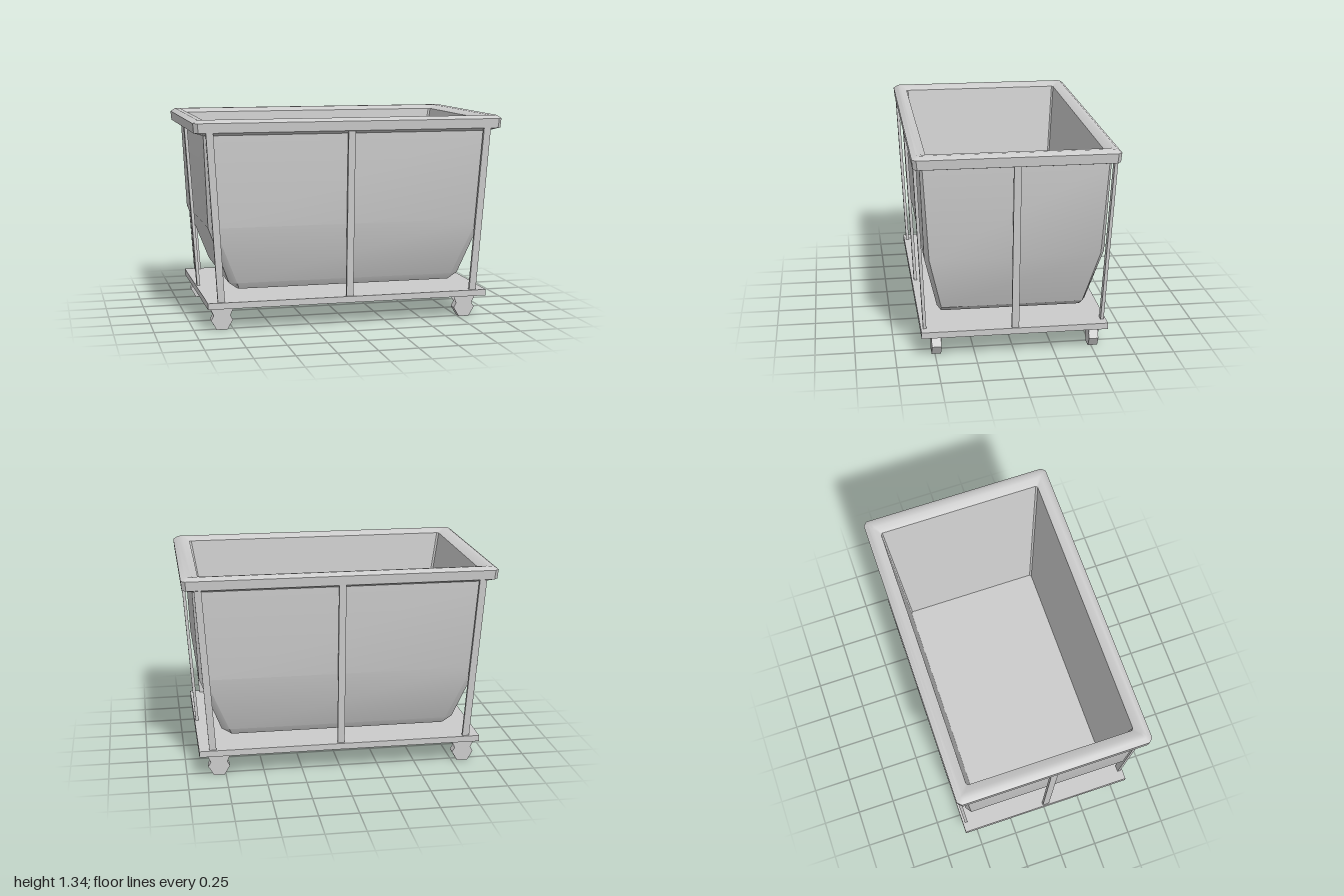
import * as THREE from 'three';
import { toCreasedNormals } from 'three/addons/utils/BufferGeometryUtils.js';

const grey = new THREE.MeshStandardMaterial({ color: 0xcccccc });
const greyThin = new THREE.MeshStandardMaterial({ color: 0xcccccc, side: THREE.DoubleSide });

function add(parent, name, geometry, material = grey) {
  const mesh = new THREE.Mesh(geometry, material);
  mesh.name = name;
  parent.add(mesh);
  return mesh;
}

// Rectangle with cut corners: half sizes hx, hz at height y, corner cuts cx, cz
function ring([hx, hz, y, cx, cz]) {
  const pts = [
    [hx, -hz + cz], [hx, hz - cz], [hx - cx, hz], [-hx + cx, hz],
    [-hx, hz - cz], [-hx, -hz + cz], [-hx + cx, -hz], [hx - cx, -hz],
  ];
  return pts.map(([x, z]) => [x, y, z]);
}

// Skin between successive rings; a ring of zero size closes an end
function loft(sections, crease) {
  const rings = sections.map(ring);
  const pos = [];
  for (let i = 0; i < rings.length - 1; i++) {
    for (let j = 0; j < 8; j++) {
      const k = (j + 1) % 8;
      const a = rings[i][j], b = rings[i + 1][j], c = rings[i][k], d = rings[i + 1][k];
      if (sections[i][0] > 0) pos.push(...a, ...b, ...c);
      if (sections[i + 1][0] > 0) pos.push(...b, ...d, ...c);
    }
  }
  const g = new THREE.BufferGeometry();
  g.setAttribute('position', new THREE.Float32BufferAttribute(pos, 3));
  return toCreasedNormals(g, crease);
}

// Upright whose top is shifted outward from its foot
function post(foot, top, width, depth) {
  const g = new THREE.BoxGeometry(width, 1, depth);
  const p = g.attributes.position;
  for (let i = 0; i < p.count; i++) {
    const t = p.getY(i) + 0.5;
    p.setXYZ(i,
      p.getX(i) + foot[0] + t * (top[0] - foot[0]),
      foot[1] + t * (top[1] - foot[1]),
      p.getZ(i) + foot[2] + t * (top[2] - foot[2]));
  }
  g.computeVertexNormals();
  return g;
}

// Six-sided wheel between two thin tapered fork plates
function makeCaster() {
  const caster = new THREE.Group();
  caster.name = 'caster';
  const wheel = new THREE.CylinderGeometry(0.07, 0.07, 0.06, 6);
  wheel.rotateY(Math.PI / 2).rotateX(Math.PI / 2);
  add(caster, 'wheel', toCreasedNormals(wheel, 0.5)).position.y = 0.061;
  const outline = new THREE.Shape([
    [-0.075, 0.14], [-0.04, 0.06], [0.04, 0.06], [0.075, 0.14],
  ].map(([x, y]) => new THREE.Vector2(x, y)));
  for (const s of [-1, 1]) {
    add(caster, 'forkPlate', new THREE.ShapeGeometry(outline), greyThin).position.z = s * 0.0305;
  }
  return caster;
}

export function createModel() {
  const model = new THREE.Group();
  model.name = 'laundryCart';

  // Tub: outside from the floor up to the rim
  add(model, 'tubOutside', loft([
    [0, 0, 0.244, 0, 0],
    [0.71, 0.45, 0.244, 0.01, 0.02],
    [0.765, 0.475, 0.285, 0.05, 0.025],
    [0.905, 0.56, 0.655, 0.04, 0.028],
    [0.932, 0.582, 1.236, 0.02, 0.016],
  ], 0.5));

  // Tub: straight tapering inside from the rim down to the floor
  add(model, 'tubInside', loft([
    [0.89, 0.54, 1.31, 0.012, 0.01],
    [0.725, 0.46, 0.283, 0.012, 0.01],
    [0, 0, 0.283, 0, 0],
  ], 0.5));

  // Padded rim with bevelled top edge, sloping in to the opening
  add(model, 'rim', loft([
    [0.932, 0.582, 1.236, 0.02, 0.016],
    [0.995, 0.625, 1.255, 0.025, 0.025],
    [1.0, 0.63, 1.315, 0.025, 0.025],
    [0.97, 0.602, 1.336, 0.015, 0.015],
    [0.935, 0.58, 1.334, 0.012, 0.012],
    [0.89, 0.54, 1.31, 0.012, 0.01],
  ], 0.7));

  // Base plate
  add(model, 'basePlate', new THREE.BoxGeometry(1.84, 0.04, 1.176)).position.y = 0.167;

  // Three leaning posts on each long side, one on each short side
  const posts = new THREE.Group();
  posts.name = 'posts';
  model.add(posts);
  for (const s of [-1, 1]) {
    for (const c of [-1, 0, 1]) {
      add(posts, 'longSidePost',
        post([c * 0.832, 0.18, s * 0.563], [c * 0.9, 1.255, s * 0.611], 0.045, 0.02));
    }
    add(posts, 'shortSidePost',
      post([s * 0.902, 0.18, 0], [s * 0.972, 1.255, 0], 0.02, 0.045));
  }

  // Casters, all turned the same way
  for (const x of [-0.822, 0.793]) {
    for (const z of [-0.511, 0.491]) {
      const caster = makeCaster();
      caster.position.set(x, 0, z);
      model.add(caster);
    }
  }

  return model;
}
